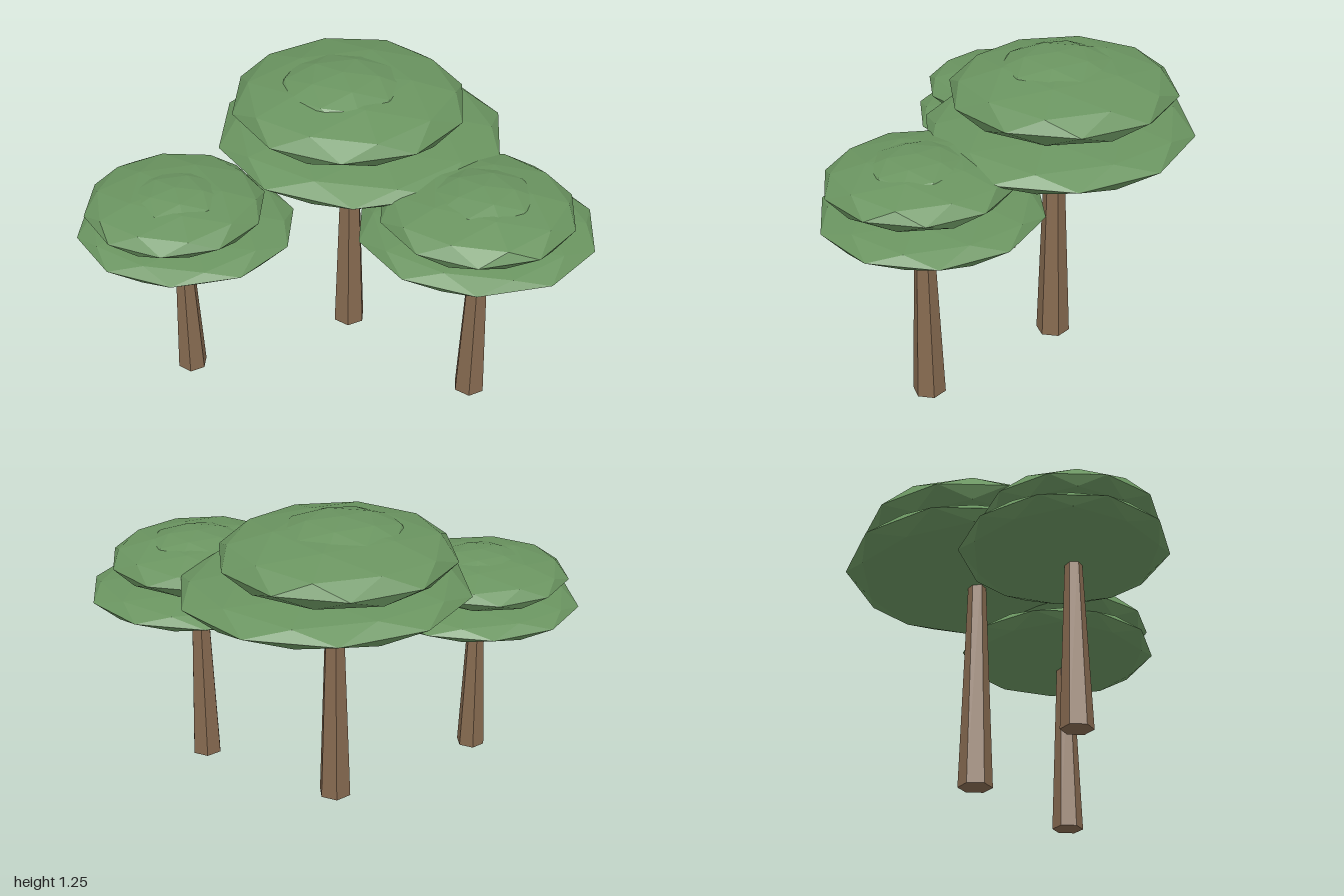
import * as THREE from 'three';

const leaf = new THREE.MeshStandardMaterial({ color: 0x6a9460, flatShading: true });
leaf.name = 'leaf green';
const bark = new THREE.MeshStandardMaterial({ color: 0x866a50, flatShading: true });
bark.name = 'bark brown';

// Faceted sphere with a vertex straight up, flattened into a foliage pad
function pad(name, [x, y, z], [rx, ry, rz]) {
  const g = new THREE.IcosahedronGeometry(1, 1);
  g.rotateZ(-Math.atan(2 / (1 + Math.sqrt(5))));
  g.scale(rx, ry, rz);
  g.computeVertexNormals();
  const m = new THREE.Mesh(g, leaf);
  m.name = name;
  m.position.set(x, y, z);
  return m;
}

// Six-sided tapered trunk standing on the ground
function trunk(x, z, height, rTop, rBottom) {
  const m = new THREE.Mesh(new THREE.CylinderGeometry(rTop, rBottom, height, 6), bark);
  m.name = 'trunk';
  m.position.set(x, height / 2, z);
  return m;
}

// Each tree: trunk [x, z, height, top radius, base radius], then pads [centre, radii]
const trees = [
  {
    name: 'tallTree',
    trunk: [0.045, -0.125, 0.96, 0.035, 0.07],
    lower: [[0.087, 0.97, -0.147], [0.583, 0.093, 0.535]],
    upper: [[0.037, 1.11, -0.155], [0.473, 0.115, 0.455]],
    cap: [[0.015, 1.16, -0.13], [0.27, 0.09, 0.25]],
  },
  {
    name: 'rightTree',
    trunk: [-0.6, 0.222, 0.71, 0.031, 0.062],
    lower: [[-0.585, 0.72, 0.19], [0.436, 0.068, 0.4]],
    upper: [[-0.62, 0.83, 0.212], [0.358, 0.084, 0.34]],
    cap: [[-0.61, 0.86, 0.235], [0.205, 0.067, 0.19]],
  },
  {
    name: 'leftTree',
    trunk: [0.573, 0.283, 0.81, 0.034, 0.066],
    lower: [[0.555, 0.815, 0.25], [0.468, 0.074, 0.428]],
    upper: [[0.553, 0.93, 0.295], [0.381, 0.092, 0.365]],
    cap: [[0.57, 0.968, 0.3], [0.22, 0.072, 0.203]],
  },
];

export function createModel() {
  const model = new THREE.Group();
  model.name = 'treeCluster';
  for (const t of trees) {
    const tree = new THREE.Group();
    tree.name = t.name;
    tree.add(
      trunk(...t.trunk),
      pad('lowerCanopy', ...t.lower),
      pad('upperCanopy', ...t.upper),
      pad('canopyCap', ...t.cap),
    );
    model.add(tree);
  }
  return model;
}
